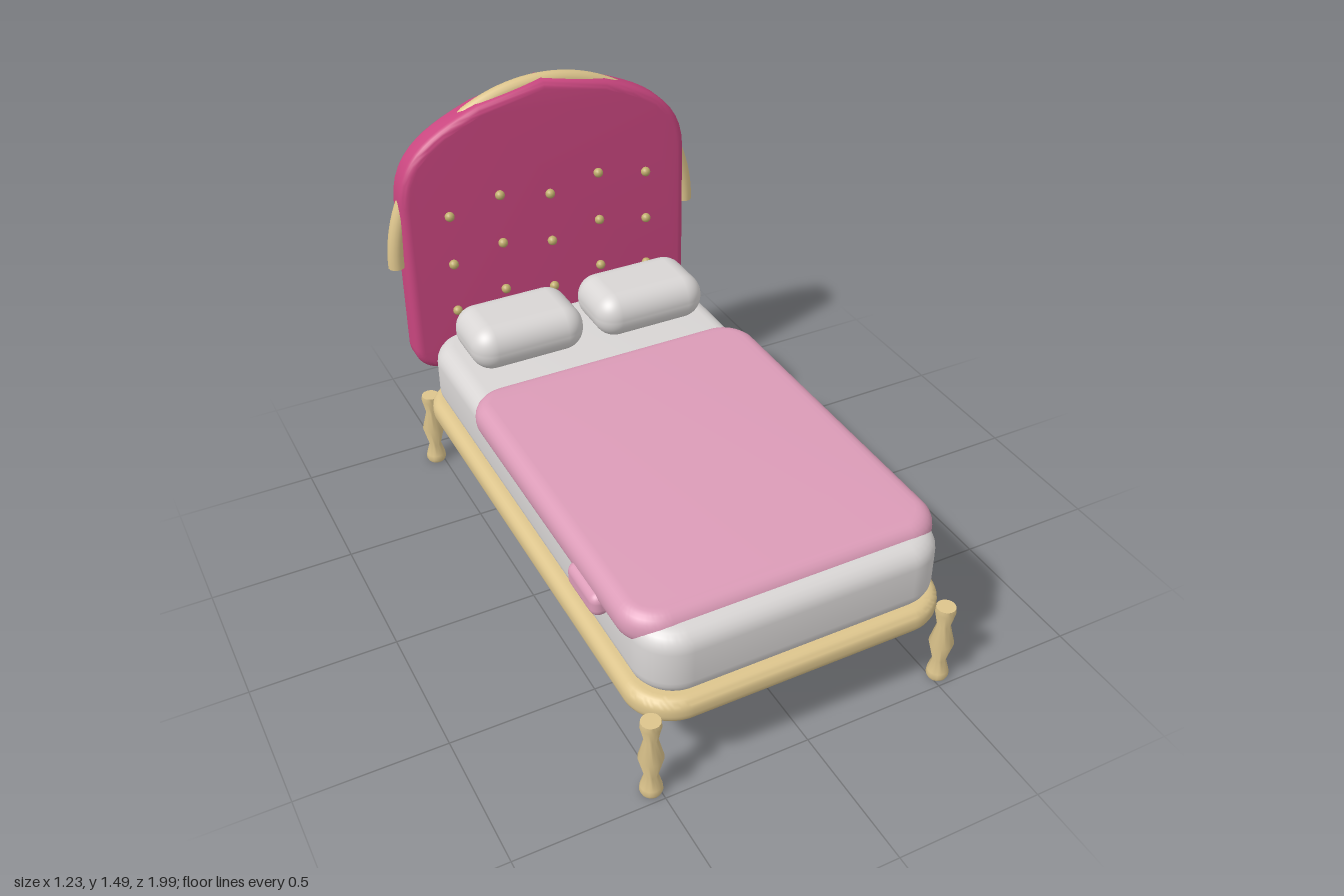
import * as THREE from 'three';
import { toCreasedNormals } from 'three/addons/utils/BufferGeometryUtils.js';
import { RoundedBoxGeometry } from 'three/addons/geometries/RoundedBoxGeometry.js';

const material = (name, color) => {
  const m = new THREE.MeshStandardMaterial({ color });
  m.name = name;
  return m;
};

// Rounded rectangle centred on the origin
function roundedRect(w, d, r) {
  const x = w / 2, y = d / 2;
  const s = new THREE.Shape();
  s.moveTo(-x + r, -y);
  s.lineTo(x - r, -y);
  s.absarc(x - r, -y + r, r, -Math.PI / 2, 0);
  s.lineTo(x, y - r);
  s.absarc(x - r, y - r, r, 0, Math.PI / 2);
  s.lineTo(-x + r, y);
  s.absarc(-x + r, y - r, r, Math.PI / 2, Math.PI);
  s.lineTo(-x, -y + r);
  s.absarc(-x + r, -y + r, r, Math.PI, Math.PI * 1.5);
  return s;
}

// Extrusion with a soft rounded edge, spanning z = 0 to depth
function softExtrude(shape, depth, bevel) {
  const g = new THREE.ExtrudeGeometry(shape, {
    depth: depth - 2 * bevel, bevelThickness: bevel, bevelSize: bevel,
    bevelSegments: 6, curveSegments: 12,
  });
  g.translate(0, 0, bevel);
  return toCreasedNormals(g, 0.7);
}

export function createModel() {
  const bed = new THREE.Group();
  bed.name = 'bed';
  const gold = material('gold wood', 0xdcc48c);
  const brass = material('button brass', 0xbfac6c);
  const rose = material('deep rose upholstery', 0xc9467f);
  const pink = material('pink blanket', 0xdb9bb7);
  const linen = material('white linen', 0xd8d5d4);

  const add = (name, geometry, mat, x = 0, y = 0, z = 0) => {
    const mesh = new THREE.Mesh(geometry, mat);
    mesh.name = name;
    mesh.position.set(x, y, z);
    bed.add(mesh);
    return mesh;
  };

  // Horizontal slab given by its outer limits
  const slab = (name, mat, halfW, z0, z1, y0, y1, radius, bevel) => {
    const shape = roundedRect(2 * (halfW - bevel), z1 - z0 - 2 * bevel, radius - bevel);
    const g = softExtrude(shape, y1 - y0, bevel).rotateX(-Math.PI / 2);
    return add(name, g, mat, 0, y0, (z0 + z1) / 2);
  };

  slab('bedFrame', gold, 0.55, -0.93, 0.975, 0.25, 0.34, 0.16, 0.038);
  slab('mattress', linen, 0.522, -0.89, 0.955, 0.335, 0.577, 0.14, 0.065);
  slab('blanket', pink, 0.545, -0.435, 0.893, 0.487, 0.61, 0.13, 0.055);

  // Turned legs
  const legProfile = [[0, 0], [0.032, 0], [0.037, 0.012], [0.035, 0.03], [0.022, 0.075],
    [0.041, 0.15], [0.022, 0.225], [0.034, 0.28], [0.032, 0.3], [0, 0.3]]
    .map(([r, y]) => new THREE.Vector2(r, y));
  const legGeometry = toCreasedNormals(new THREE.LatheGeometry(legProfile, 20), 0.9);
  for (const x of [-0.525, 0.525])
    for (const z of [-0.9, 0.953]) add('leg', legGeometry, gold, x, 0, z);

  // Pillows and tucked blanket folds on both sides
  const pillow = new RoundedBoxGeometry(0.43, 0.17, 0.285, 6, 0.08);
  const fold = new RoundedBoxGeometry(0.07, 0.085, 0.2, 4, 0.03);
  for (const side of [-1, 1]) {
    add('pillow', pillow, linen, side * 0.242, 0.667, -0.647);
    add('blanketFold', fold, pink, side * 0.53, 0.5, 0.555);
  }

  // Headboard with shoulders rising to a shallow peak
  const b = 0.03, hw = 0.53, y0 = 0.41 + b, r = 0.07;
  const s = new THREE.Shape();
  s.moveTo(-hw + r, y0);
  s.lineTo(hw - r, y0);
  s.absarc(hw - r, y0 + r, r, -Math.PI / 2, 0);
  s.lineTo(hw, 1.1);
  s.bezierCurveTo(hw, 1.28, 0.38, 1.34, 0.24, 1.395);
  s.lineTo(0, 1.445);
  s.lineTo(-0.24, 1.395);
  s.bezierCurveTo(-0.38, 1.34, -hw, 1.28, -hw, 1.1);
  s.lineTo(-hw, y0 + r);
  s.absarc(-hw + r, y0 + r, r, Math.PI, Math.PI * 1.5);
  add('headboard', softExtrude(s, 0.11, b), rose, 0, 0, -1);

  // Arched trim that runs through the headboard and emerges at sides and top
  const arch = new THREE.TorusGeometry(0.585, 0.03, 14, 64, Math.PI).scale(1, 1.025, 1);
  add('archTrim', arch, gold, 0, 0.855, -0.945);
  const cap = new THREE.CircleGeometry(0.03, 14).rotateX(Math.PI / 2);
  for (const side of [-1, 1]) add('archTrimEnd', cap, gold, side * 0.585, 0.855, -0.945);

  // Staggered upholstery buttons
  const button = new THREE.SphereGeometry(0.018, 14, 10);
  for (const y of [0.65, 0.845, 1.04])
    for (let i = -2; i <= 2; i++)
      add('button', button, brass, i * 0.195, y + (i % 2 ? 0.04 : 0), -0.883);

  return bed;
}
